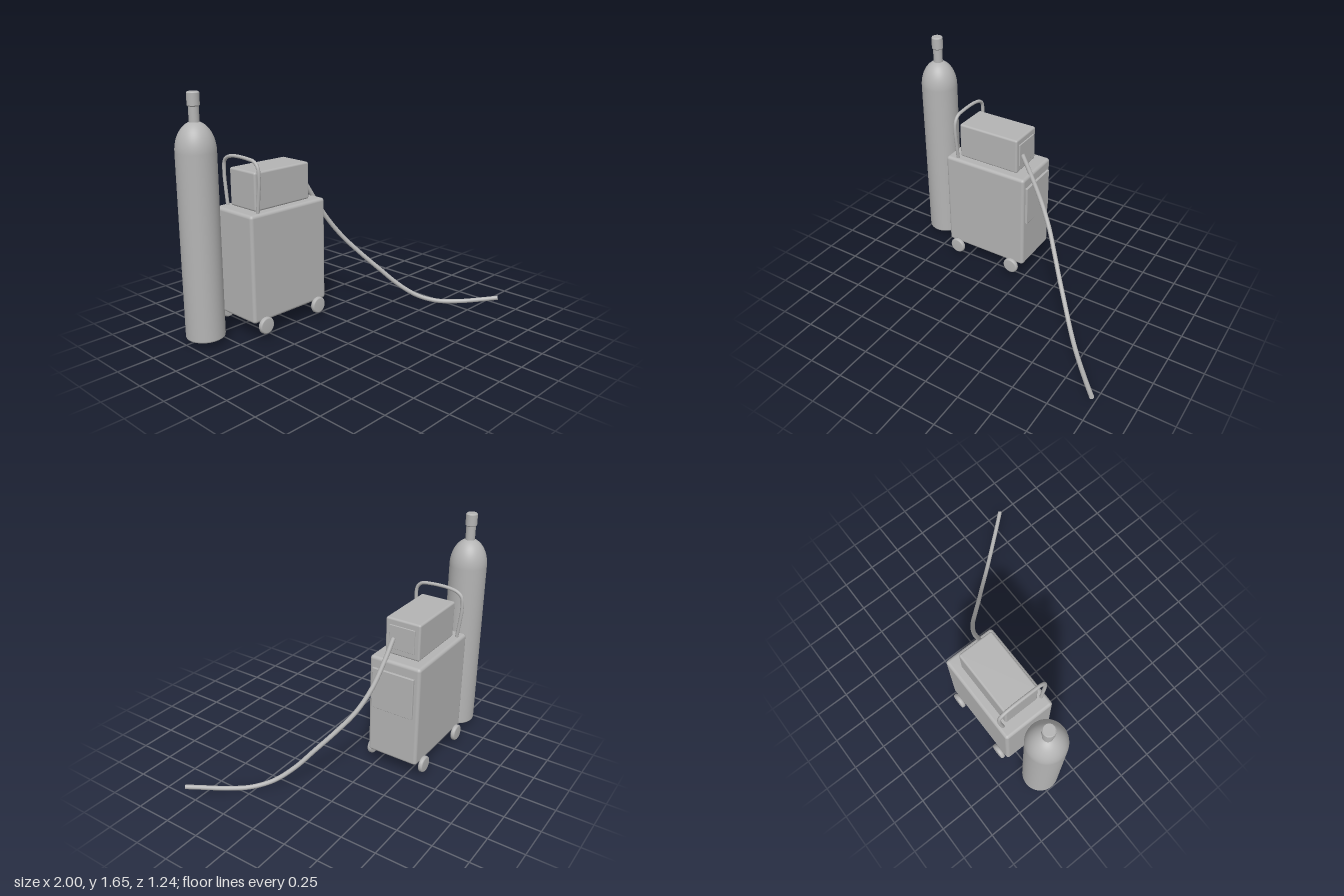
import * as THREE from 'three';
import { RoundedBoxGeometry } from 'three/addons/geometries/RoundedBoxGeometry.js';

export function createModel() {
  const model = new THREE.Group();
  model.name = 'gasCart';
  const grey = new THREE.MeshStandardMaterial({ color: 0xb4b4b4 });
  grey.name = 'plain grey';

  const add = (name, geometry, x = 0, y = 0, z = 0) => {
    const mesh = new THREE.Mesh(geometry, grey);
    mesh.name = name;
    mesh.position.set(x, y, z);
    model.add(mesh);
    return mesh;
  };

  // Rounded box given by its limits on each axis
  const box = (name, [x0, x1], [y0, y1], [z0, z1], radius) =>
    add(name, new RoundedBoxGeometry(x1 - x0, y1 - y0, z1 - z0, 4, radius),
      (x0 + x1) / 2, (y0 + y1) / 2, (z0 + z1) / 2);

  const lathe = (points) =>
    new THREE.LatheGeometry(points.map(([r, y]) => new THREE.Vector2(r, y)), 48);

  // Round tube through points, closed by a disc at each end
  const tube = (name, points, radius) => {
    const curve = new THREE.CatmullRomCurve3(points.map((p) => new THREE.Vector3(...p)));
    add(name, new THREE.TubeGeometry(curve, 80, radius, 12));
    [0, 1].forEach((t) => {
      const at = curve.getPointAt(t);
      const out = curve.getTangentAt(t).multiplyScalar(t ? 1 : -1);
      const cap = add(name + 'End', new THREE.CircleGeometry(radius, 12), at.x, at.y, at.z);
      cap.quaternion.setFromUnitVectors(new THREE.Vector3(0, 0, 1), out);
    });
  };

  // Gas bottle: straight wall with an elliptical shoulder
  const shoulder = [];
  for (let i = 0; i <= 14; i++) {
    const a = (i / 14) * Math.PI / 2;
    shoulder.push([0.13 * Math.cos(a), 1.28 + 0.19 * Math.sin(a)]);
  }
  add('gasBottle', lathe([[0, 0.04], [0.122, 0.04], [0.122, 0.04], [0.128, 0.044], [0.13, 0.052],
    ...shoulder]), -0.87, 0, -0.46);
  add('bottleNeck', new THREE.CylinderGeometry(0.033, 0.033, 0.13, 32), -0.87, 1.505, -0.46);
  add('bottleValve', lathe([[0, 1.56], [0.034, 1.56], [0.034, 1.56], [0.04, 1.567], [0.04, 1.567],
    [0.04, 1.643], [0.04, 1.643], [0.034, 1.65], [0.034, 1.65], [0, 1.65]]), -0.87, 0, -0.46);

  // Cabinet, the unit on top of it and their end panels
  box('cabinet', [-0.656, 0], [0.12, 0.862], [-0.59, -0.21], 0.022);
  box('topUnit', [-0.568, -0.092], [0.862, 1.122], [-0.528, -0.27], 0.014);
  box('cabinetDoor', [-0.01, 0.016], [0.485, 0.785], [-0.552, -0.24], 0.004);
  box('connectorPanel', [-0.1, -0.084], [0.91, 1.078], [-0.492, -0.302], 0.003);

  // Wheels with rounded rims, on short axles
  const rim = [[0, -0.017], [0.047, -0.017], [0.054, -0.014], [0.058, -0.007],
    [0.058, 0.007], [0.054, 0.014], [0.047, 0.017], [0, 0.017]];
  for (const x of [-0.57, -0.092]) {
    for (const z of [-0.605, -0.195]) {
      add('wheel', lathe(rim), x, 0.097, z).rotation.x = Math.PI / 2;
    }
  }

  // Push handle: a hoop that bulges above its feet
  const hoop = [[-0.245, 0.85], [-0.233, 0.96], [-0.222, 1.07], [-0.23, 1.16], [-0.265, 1.195],
    [-0.33, 1.205], [-0.4, 1.208], [-0.47, 1.205], [-0.535, 1.19], [-0.57, 1.16],
    [-0.578, 1.07], [-0.567, 0.96], [-0.553, 0.85]];
  tube('pushHandle', hoop.map(([z, y]) => [-0.572, y, z]), 0.012);

  // Hose falling from the connector panel to the floor
  tube('hose', [[-0.086, 0.99, -0.337], [0, 0.845, -0.322], [0.1, 0.68, -0.293],
    [0.2, 0.53, -0.235], [0.3, 0.395, -0.143], [0.4, 0.27, -0.045], [0.5, 0.15, 0.05],
    [0.6, 0.06, 0.155], [0.7, 0.02, 0.268], [0.8, 0.02, 0.385], [0.9, 0.037, 0.505],
    [0.984, 0.054, 0.603]], 0.016);

  return model;
}
